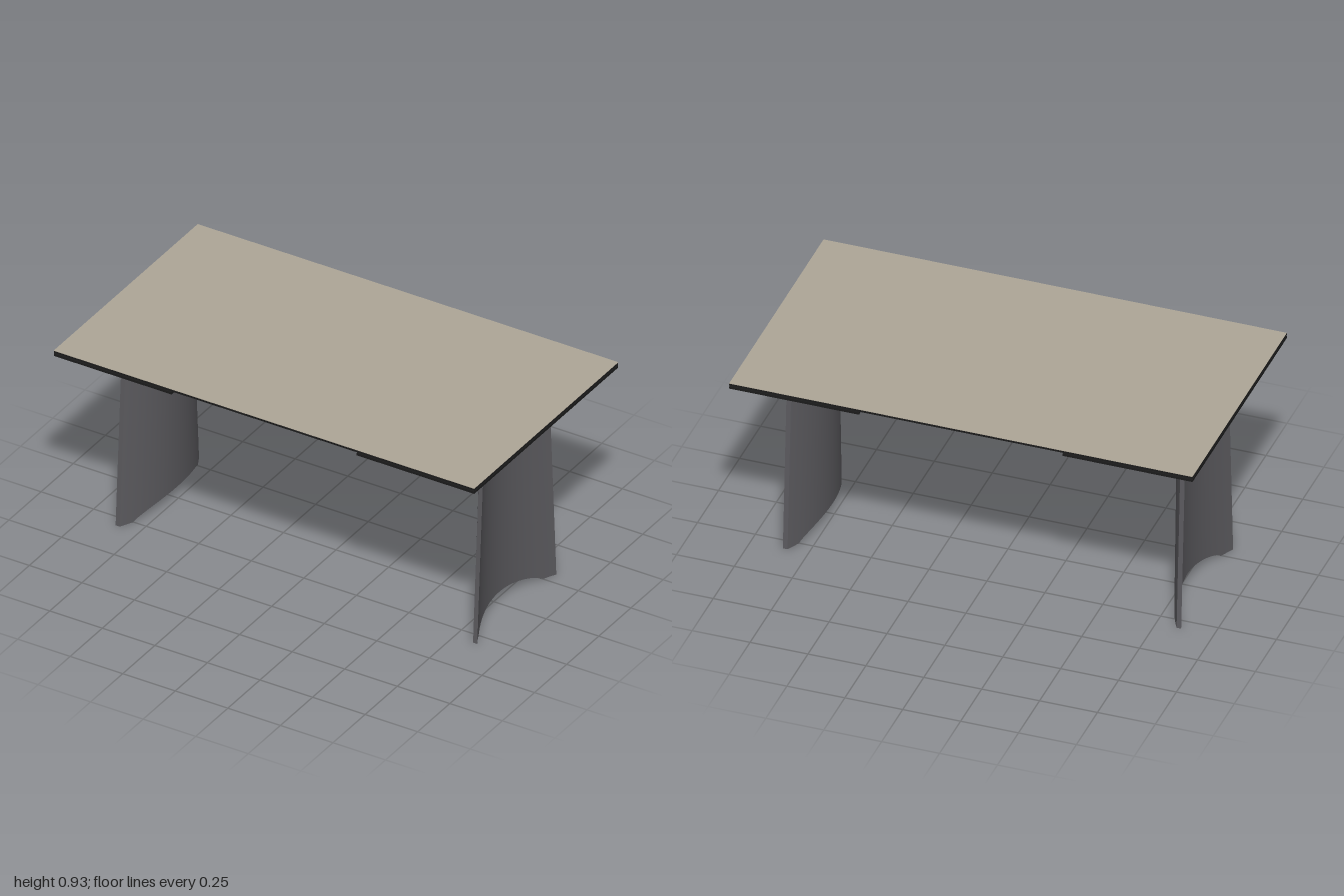
import * as THREE from 'three';

export function createModel() {
  const table = new THREE.Group();
  table.name = 'extendingTable';

  const mat = (name, color) => {
    const m = new THREE.MeshStandardMaterial({ color });
    m.name = name;
    return m;
  };
  const stone = mat('warm stone', 0xaea697);
  const black = mat('black edge', 0x1c1c1c);
  const metal = mat('dark grey metal', 0x5b5a5e);

  // Box given by its lower and upper limits on each axis
  const box = (name, material, [x0, x1], [y0, y1], [z0, z1]) => {
    const mesh = new THREE.Mesh(new THREE.BoxGeometry(x1 - x0, y1 - y0, z1 - z0), material);
    mesh.position.set((x0 + x1) / 2, (y0 + y1) / 2, (z0 + z1) / 2);
    mesh.name = name;
    table.add(mesh);
    return mesh;
  };

  // Same box on both ends of the table
  const pairX = (name, material, [a, b], ys, zs) => {
    box(name + 'Left', material, [a, b], ys, zs);
    box(name + 'Right', material, [-b, -a], ys, zs);
  };

  // Tabletop: stone surface on a black slab, with two leaves below it
  box('topSurface', stone, [-1, 1], [0.929, 0.931], [-0.56, 0.56]);
  box('topSlab', black, [-1, 1], [0.92, 0.929], [-0.56, 0.56]);
  pairX('lowerLeaf', black, [0.44, 1], [0.905, 0.916], [-0.56, 0.56]);

  // Central support between frame and top
  box('centreSupport', metal, [-0.155, 0.155], [0.89, 0.92], [-0.29, 0.29]);

  // Frame: side rails, end boards and recessed floor panel
  for (const s of [-1, 1]) {
    const zs = (a, b) => (s > 0 ? [a, b] : [-b, -a]);
    box('sideRail', metal, [-0.86, 0.86], [0.81, 0.89], zs(0.28, 0.325));
    box('slideRunner', metal, [-0.915, 0.915], [0.865, 0.89], zs(0.235, 0.28));
  }
  pairX('endBoard', metal, [0.74, 0.86], [0.81, 0.838], [-0.28, 0.28]);
  box('floorPanel', metal, [-0.84, 0.84], [0.85, 0.865], [-0.28, 0.28]);

  // Cross plates under the frame and pull plates at the ends
  pairX('crossPlate', metal, [0.117, 0.287], [0.79, 0.81], [-0.325, 0.325]);
  pairX('endPlate', metal, [0.915, 0.935], [0.845, 0.905], [-0.28, 0.28]);

  // Legs: thin curved shells, tapering upwards, with an arched foot
  const legGeometry = (side) => {
    const height = 0.81;
    const g = new THREE.BoxGeometry(0.02, height, 2, 1, 1, 64);
    const p = g.attributes.position;
    for (let i = 0; i < p.count; i++) {
      const t = p.getZ(i);
      const top = p.getY(i) > 0;
      const z = t * (top ? 0.26 : 0.308);
      const arch = 0.054 * Math.pow(Math.max(0, 1 - (z / 0.25) ** 2), 0.75);
      p.setXYZ(i, p.getX(i) + side * (0.765 + 0.085 * t * t), top ? height : arch, z);
    }
    g.computeVertexNormals();
    return g;
  };
  for (const side of [-1, 1]) {
    const leg = new THREE.Mesh(legGeometry(side), metal);
    leg.name = side > 0 ? 'leftLeg' : 'rightLeg';
    table.add(leg);
  }

  return table;
}
